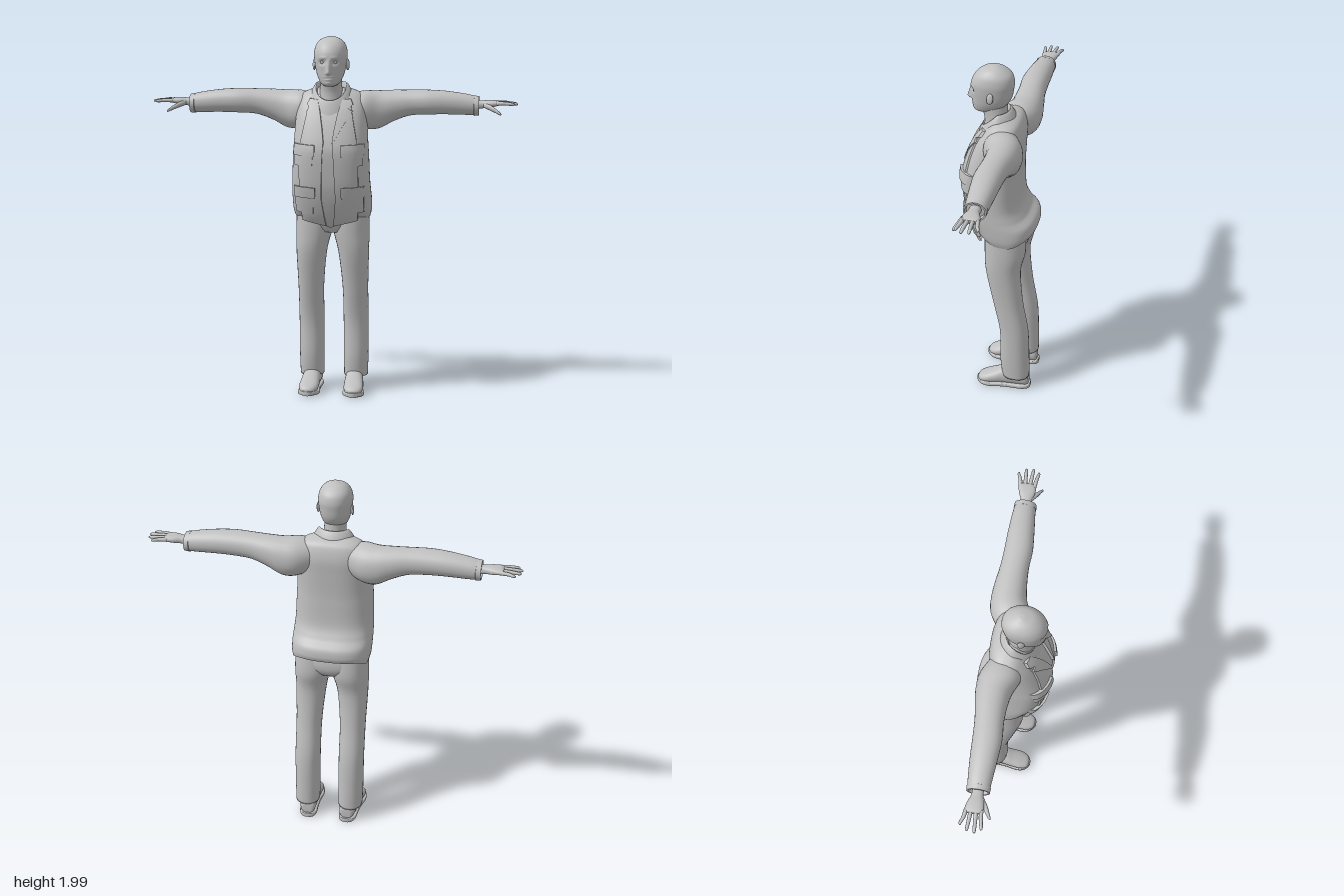
import * as THREE from 'three';
import { toCreasedNormals } from 'three/addons/utils/BufferGeometryUtils.js';

const grey = new THREE.MeshStandardMaterial({ color: 0xc0c0c0, side: THREE.DoubleSide });
grey.name = 'grey';

// Smooth interpolation of cross-section rows
function densify(rows, steps) {
  const out = [];
  for (let i = 0; i < rows.length - 1; i++) {
    const [p0, p1, p2, p3] = [-1, 0, 1, 2].map(k => rows[Math.min(rows.length - 1, Math.max(0, i + k))]);
    for (let s = 0; s < steps; s++) {
      const t = s / steps;
      out.push(p1.map((b, k) => b + 0.5 * t * (p2[k] - p0[k] + t * (2 * p0[k] - 5 * b + 4 * p2[k] - p3[k]
        + t * (3 * (b - p2[k]) + p3[k] - p0[k])))));
    }
  }
  out.push(rows.at(-1));
  return out;
}

// Skin over superellipse rows [t, centreA, centreB, radiusA, radiusB]; place() maps (t, a, b) to xyz
function loft(rows, place, { sides = 28, steps = 5, power = 2, caps = [true, true] } = {}) {
  const secs = densify(rows, steps), pos = [], idx = [];
  const bend = v => Math.sign(v) * Math.abs(v) ** (2 / power);
  for (const [t, a, b, ra, rb] of secs)
    for (let j = 0; j < sides; j++) {
      const q = j / sides * Math.PI * 2;
      pos.push(...place(t, a + ra * bend(Math.cos(q)), b + rb * bend(Math.sin(q))));
    }
  for (let i = 0; i < secs.length - 1; i++)
    for (let j = 0; j < sides; j++) {
      const a = i * sides + j, b = i * sides + (j + 1) % sides;
      idx.push(a, a + sides, b, b, a + sides, b + sides);
    }
  [0, secs.length - 1].forEach((r, k) => {
    if (!caps[k]) return;
    const c = pos.length / 3;
    pos.push(...place(...secs[r].slice(0, 3)));
    for (let j = 0; j < sides; j++) {
      const a = r * sides + j, b = r * sides + (j + 1) % sides;
      idx.push(...(k ? [a, c, b] : [a, b, c]));
    }
  });
  // Turn the faces outwards by the sign of the volume
  let vol = 0;
  const v = i => new THREE.Vector3().fromArray(pos, idx[i] * 3);
  const mid = v(0);
  for (let i = 0; i < idx.length; i += 3)
    vol += v(i).sub(mid).dot(v(i + 1).sub(mid).cross(v(i + 2).sub(mid)));
  if (vol < 0) idx.reverse();
  return finish(pos, idx);
}

function finish(pos, idx) {
  const g = new THREE.BufferGeometry();
  g.setAttribute('position', new THREE.Float32BufferAttribute(pos, 3));
  g.setIndex(idx);
  g.computeVertexNormals();
  return g;
}

// Jacket body rows: y, half width, front z, back z
const body = [
  [0.95, 0.205, 0.065, -0.205], [1.0, 0.214, 0.105, -0.213], [1.08, 0.216, 0.14, -0.205],
  [1.15, 0.214, 0.162, -0.165], [1.22, 0.21, 0.176, -0.132], [1.35, 0.205, 0.188, -0.125],
  [1.42, 0.2, 0.18, -0.125], [1.52, 0.195, 0.145, -0.13], [1.6, 0.19, 0.105, -0.133],
  [1.66, 0.175, 0.06, -0.12], [1.69, 0.14, 0.035, -0.1], [1.71, 0.08, 0.02, -0.06],
].map(([y, w, f, b]) => [y, 0, (f + b) / 2, w, (f - b) / 2]);
const bodyFine = densify(body, 6), BODY_POWER = 2.6;

// Height of the jacket front at a point
function frontZ(x, y) {
  let i = 0;
  while (i < bodyFine.length - 2 && bodyFine[i + 1][0] < y) i++;
  const p = bodyFine[i], q = bodyFine[i + 1], t = (y - p[0]) / (q[0] - p[0]);
  const [, , c, w, r] = p.map((u, k) => u + (q[k] - u) * t);
  return c + r * Math.max(0, 1 - Math.abs(x / w) ** BODY_POWER) ** (1 / BODY_POWER);
}

// Raised cloth panel on the jacket front; rows are [innerX, innerY, outerX, outerY], bottom to top
function panel(rows, depth, side) {
  const cols = 12, sub = 6, grid = [], pos = [], idx = [];
  for (let i = 0; i < rows.length - 1; i++)
    for (let s = i ? 1 : 0; s <= sub; s++) grid.push(rows[i].map((u, k) => u + (rows[i + 1][k] - u) * s / sub));
  const full = [grid[0], ...grid, grid.at(-1)], n = cols + 3;
  full.forEach(([xa, ya, xb, yb], i) => {
    for (let j = 0; j < n; j++) {
      const t = Math.min(cols, Math.max(0, j - 1)) / cols, x = xa + (xb - xa) * t, y = ya + (yb - ya) * t;
      const edge = i === 0 || i === full.length - 1 || j === 0 || j === n - 1;
      pos.push(side * x, y, frontZ(x, y) + (edge ? -0.006 : depth));
      if (i && j) {
        const d = i * n + j, c = d - 1, b = d - n, a = b - 1;
        idx.push(...(side > 0 ? [a, b, d, a, d, c] : [a, d, b, a, c, d]));
      }
    }
  });
  return toCreasedNormals(finish(pos, idx), 0.7);
}

export function createModel() {
  const model = new THREE.Group();
  const add = (name, geo, parent = model) => {
    const m = new THREE.Mesh(geo, grey);
    m.name = name;
    parent.add(m);
    return m;
  };
  const alongY = (y, x, z) => [x, y, z];
  const bump = (v, c, w) => Math.exp(-(((v - c) / w) ** 2));

  // Jacket with a hem that dips in front and lifts behind
  add('jacketBody', loft(body, (y, x, z) => {
    const k = Math.min(1, Math.max(0, (1.15 - y) / 0.2));
    const lift = 0.05 * Math.min(1, Math.abs(x) / 0.13 + (z < -0.05 ? 1 : 0)) + 0.04 * THREE.MathUtils.smoothstep(-z, 0.08, 0.2);
    return [x, y + lift * k, z];
  }, { sides: 64, steps: 6, power: BODY_POWER, caps: [false, true] }));

  // Collar: a folded ring, high at the back and falling to the chest
  add('collar', loft([
    [-0.05, 0, 0.005, 0.122, 0.112], [-0.01, 0, 0.007, 0.108, 0.098], [0.022, 0, 0.01, 0.088, 0.08],
    [0.02, 0, 0.012, 0.078, 0.07], [-0.03, 0, 0.015, 0.07, 0.064],
  ], (h, x, z) => [x, 1.715 + h - 0.95 * Math.max(0, z + 0.015), z + 0.012],
  { sides: 40, steps: 3, caps: [false, false] }));

  // Head, with the face pushed in and out by soft bumps
  const skull = [
    [1.722, 0.125, 0.05, 0.022], [1.735, 0.14, 0.01, 0.047], [1.77, 0.146, -0.035, 0.067], [1.81, 0.148, -0.06, 0.079],
    [1.86, 0.153, -0.07, 0.087], [1.9, 0.15, -0.073, 0.089], [1.94, 0.128, -0.06, 0.079],
    [1.97, 0.09, -0.022, 0.053], [1.985, 0.04, 0.015, 0.015],
  ].map(([y, f, b, w]) => [y, 0, (f + b) / 2, w, (f - b) / 2]);
  add('head', loft(skull, (y, x, z) => {
    if (z < 0.06) return [x, y, z];
    const ax = Math.abs(x), nose = THREE.MathUtils.smoothstep(y, 1.778, 1.795) * THREE.MathUtils.clamp((1.872 - y) / 0.075, 0, 1);
    const d = 0.03 * nose * bump(ax, 0, 0.013) - 0.013 * bump(ax, 0.034, 0.017) * bump(y, 1.85, 0.012)
      + 0.004 * bump(y, 1.874, 0.009) * bump(ax, 0.03, 0.025) + 0.006 * bump(ax, 0, 0.022) * (bump(y, 1.773, 0.006) + bump(y, 1.76, 0.006))
      - 0.005 * bump(ax, 0, 0.025) * bump(y, 1.7665, 0.003) + 0.005 * bump(ax, 0, 0.02) * bump(y, 1.74, 0.01);
    return [x, y, z + d];
  }, { sides: 88, steps: 8, power: 2.15 }));
  add('neck', loft([[1.58, 0, 0.03, 0.07, 0.06], [1.68, 0, 0.022, 0.062, 0.062], [1.74, 0, 0.03, 0.058, 0.068],
    [1.79, 0, 0.035, 0.058, 0.07]], alongY));

  // Hips under the jacket
  add('hips', loft([[0.92, 0, -0.055, 0.09, 0.09], [0.96, 0, -0.055, 0.17, 0.11], [1.02, 0, -0.05, 0.195, 0.115],
    [1.12, 0, -0.03, 0.19, 0.11]], alongY, { power: 2.3 }));

  for (const s of [1, -1]) {
    const half = new THREE.Group();
    half.name = s > 0 ? 'leftSide' : 'rightSide';
    model.add(half);
    const alongX = (x, y, z) => [s * x, y, z];
    const mirrorY = (y, x, z) => [s * x, y, z];

    // Eye and ear
    const eye = add('eye', new THREE.SphereGeometry(0.011, 16, 12), half);
    eye.position.set(s * 0.034, 1.851, 0.128);
    const ear = add('ear', new THREE.SphereGeometry(1, 16, 12), half);
    ear.scale.set(0.009, 0.031, 0.019);
    ear.position.set(s * 0.09, 1.835, 0.035);
    ear.rotation.set(-0.15, -s * 0.25, 0);

    // Front panel, lapel and pockets with flaps
    add('frontPanel', panel([[0.02, 0.962, 0.15, 0.995], [0.038, 1.12, 0.16, 1.12], [0.032, 1.3, 0.16, 1.3],
      [0.024, 1.44, 0.15, 1.44], [0.04, 1.54, 0.13, 1.54], [0.06, 1.64, 0.11, 1.64]], 0.01, s), half);
    add('lapel', panel([[0.022, 1.42, 0.03, 1.43], [0.032, 1.5, 0.08, 1.52], [0.045, 1.57, 0.125, 1.59],
      [0.05, 1.595, 0.1, 1.605], [0.058, 1.62, 0.125, 1.625], [0.066, 1.65, 0.11, 1.655]], 0.017, s), half);
    for (const [y0, y1, name] of [[1.3, 1.41, 'upperPocket'], [1.04, 1.18, 'lowerPocket']]) {
      add(name, panel([[0.085, y0 - 0.005, 0.185, y0 + 0.005], [0.075, y1, 0.185, y1 + 0.005]], 0.016, s), half);
      add(name + 'Flap', panel([[0.07, y1 - 0.055, 0.19, y1 - 0.05], [0.07, y1 + 0.005, 0.19, y1 + 0.01]], 0.023, s), half);
    }

    // Sleeve and cuff
    add('sleeve', loft([
      [0.08, 1.6, -0.04, 0.07, 0.07], [0.17, 1.588, -0.055, 0.103, 0.105], [0.25, 1.588, -0.075, 0.104, 0.094],
      [0.33, 1.609, -0.077, 0.085, 0.083], [0.42, 1.626, -0.072, 0.07, 0.074], [0.52, 1.63, -0.066, 0.067, 0.074],
      [0.62, 1.628, -0.068, 0.063, 0.069], [0.72, 1.62, -0.07, 0.057, 0.061], [0.775, 1.614, -0.07, 0.051, 0.056],
    ], alongX, { power: 2.15 }));
    half.add(model.children.at(-1));
    add('cuff', toCreasedNormals(loft([[0.762, 1.613, -0.07, 0.05, 0.055], [0.766, 1.613, -0.07, 0.055, 0.06],
      [0.792, 1.612, -0.07, 0.052, 0.058], [0.792, 1.612, -0.07, 0.044, 0.05], [0.775, 1.613, -0.07, 0.04, 0.046]],
    alongX, { steps: 1 }), 0.6), half);

    // Hand
    add('palm', loft([[0.76, 1.615, -0.07, 0.024, 0.03], [0.81, 1.62, -0.07, 0.021, 0.029], [0.85, 1.624, -0.072, 0.02, 0.042],
      [0.89, 1.627, -0.075, 0.015, 0.047], [0.905, 1.627, -0.077, 0.009, 0.043]], alongX, { power: 2.4 }), half);
    [[-0.039, 0.982, -0.026], [-0.063, 1.0, -0.057], [-0.088, 0.995, -0.094], [-0.112, 0.97, -0.13]].forEach(([z, tip, zt], i) =>
      add('finger' + (i + 1), loft([[0.885, 1.627, z, 0.011, 0.011], [0.93, 1.628, z * 0.6 + zt * 0.4, 0.01, 0.01],
        [tip - 0.012, 1.625, zt, 0.008, 0.008], [tip, 1.624, zt, 0.003, 0.003]], alongX, { sides: 12, steps: 3 }), half));
    add('thumb', loft([[0.815, 1.618, -0.055, 0.014, 0.016], [0.85, 1.606, -0.03, 0.015, 0.015], [0.885, 1.588, -0.01, 0.011, 0.011],
      [0.905, 1.576, 0.002, 0.008, 0.008], [0.912, 1.572, 0.005, 0.002, 0.002]], alongX, { sides: 12, steps: 3 }), half);

    // Trouser leg
    add('trouserLeg', loft([
      [0.085, 0.124, -0.122, 0.067, 0.077], [0.2, 0.125, -0.115, 0.069, 0.083], [0.4, 0.125, -0.109, 0.07, 0.08],
      [0.6, 0.124, -0.073, 0.071, 0.083], [0.8, 0.117, -0.045, 0.084, 0.096], [0.92, 0.104, -0.052, 0.099, 0.112],
      [1.03, 0.1, -0.05, 0.1, 0.11],
    ], mirrorY, { power: 2.2, steps: 6 }), half);

    // Shoe: rows run heel to toe, turned slightly outwards
    const foot = (z, x, y) => [s * (x + 0.118 + (z + 0.1) * 0.05), y, z];
    add('shoe', loft([
      [-0.195, 0, 0.05, 0.025, 0.03], [-0.18, 0, 0.06, 0.042, 0.045], [-0.12, 0, 0.07, 0.048, 0.055], [-0.05, 0, 0.068, 0.05, 0.053],
      [0, 0, 0.055, 0.053, 0.041], [0.05, 0, 0.043, 0.053, 0.03], [0.085, 0, 0.034, 0.038, 0.021], [0.098, 0, 0.03, 0.015, 0.01],
    ], foot, { power: 2.3 }), half);
    const outline = [[-0.205, 0.018], [-0.195, 0.036], [-0.16, 0.049], [-0.1, 0.048], [-0.04, 0.05], [0.02, 0.059],
      [0.06, 0.056], [0.09, 0.037], [0.105, 0.012]];
    add('sole', toCreasedNormals(loft(outline.map(([z, w]) => [z, 0, 0.013 + 0.006 * THREE.MathUtils.smoothstep(z, 0.02, 0.1), w, 0.013]),
      foot, { power: 6, steps: 3 }), 0.7), half);
  }
  return model;
}
